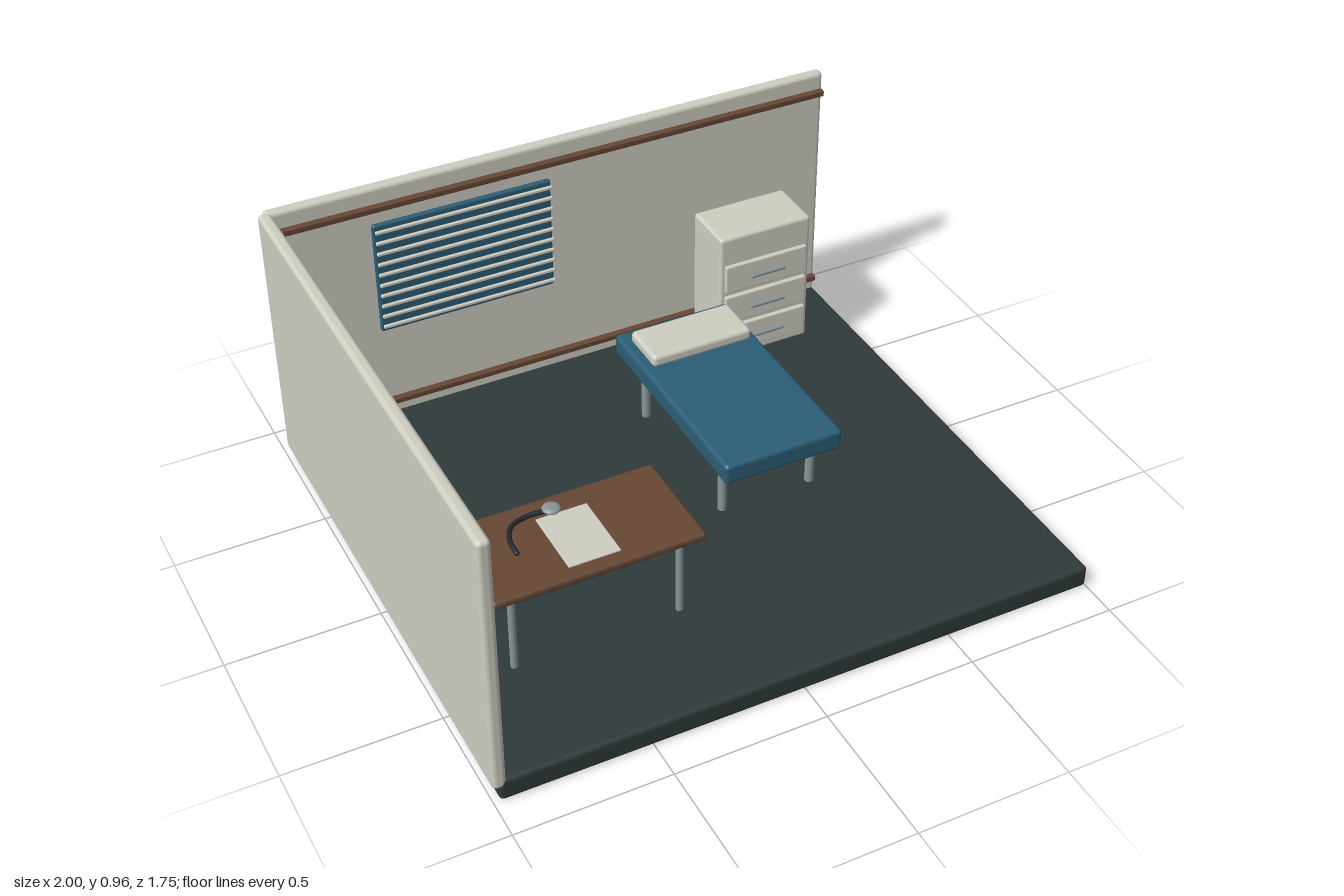
import * as THREE from 'three';
import { RoundedBoxGeometry } from 'three/addons/geometries/RoundedBoxGeometry.js';

function material(name, color) {
  const m = new THREE.MeshStandardMaterial({ color });
  m.name = name;
  return m;
}

export function createModel() {
  const cream = material('cream', 0xcfcec2);
  const floorDark = material('dark slate', 0x2f3a3a);
  const blue = material('blue', 0x2b5d75);
  const brown = material('brown wood', 0x664733);
  const metal = material('grey metal', 0x89959a);
  const rubber = material('black rubber', 0x23282b);

  const model = new THREE.Group();
  model.name = 'clinicRoom';

  function group(name) {
    const g = new THREE.Group();
    g.name = name;
    model.add(g);
    return g;
  }

  // Rounded box given by its [min, max] range on each axis
  function box(parent, name, mat, [x0, x1], [y0, y1], [z0, z1], r = 0.01) {
    const w = x1 - x0, h = y1 - y0, d = z1 - z0;
    const radius = Math.min(r, Math.min(w, h, d) * 0.45);
    const mesh = new THREE.Mesh(new RoundedBoxGeometry(w, h, d, 3, radius), mat);
    mesh.position.set((x0 + x1) / 2, (y0 + y1) / 2, (z0 + z1) / 2);
    mesh.name = name;
    parent.add(mesh);
    return mesh;
  }

  // Four round legs at the given x and z positions
  function legs(parent, xs, zs, y0, y1, r) {
    for (const x of xs) for (const z of zs) {
      const leg = new THREE.Mesh(new THREE.CylinderGeometry(r, r, y1 - y0, 20), metal);
      leg.position.set(x, (y0 + y1) / 2, z);
      leg.name = 'leg';
      parent.add(leg);
    }
  }

  // Floor and two walls
  const room = group('room');
  box(room, 'floor', floorDark, [-0.98, 1], [0, 0.078], [-0.855, 0.875], 0.015);
  box(room, 'backWall', cream, [-0.98, 1], [0.05, 0.96], [-0.875, -0.835], 0.015);
  box(room, 'sideWall', cream, [-1, -0.957], [0.05, 0.96], [-0.855, 0.875], 0.015);

  // Wooden rails along the back wall
  for (const y of [0.13, 0.89]) {
    box(room, 'wallRail', brown, [-0.965, 0.995], [y - 0.011, y + 0.011], [-0.837, -0.813], 0.005);
  }

  // Window with slatted blind
  const windowGroup = group('window');
  box(windowGroup, 'windowPanel', blue, [-0.648, -0.03], [0.425, 0.835], [-0.831, -0.811], 0.009);
  for (let i = 0; i < 10; i++) {
    const y = 0.455 + i * 0.0402;
    box(windowGroup, 'blindSlat', cream, [-0.645, -0.032], [y - 0.006, y + 0.006], [-0.802, -0.79], 0.004);
  }

  // Desk
  const desk = group('desk');
  box(desk, 'deskTop', brown, [-0.83, -0.143], [0.357, 0.386], [0.145, 0.515], 0.012);
  legs(desk, [-0.757, -0.213], [0.197, 0.47], 0.078, 0.36, 0.012);
  box(desk, 'paper', cream, [-0.572, -0.404], [0.386, 0.393], [0.235, 0.472], 0.003);

  // Stethoscope lying on the desk
  const stethoscope = group('stethoscope');
  const path = new THREE.CatmullRomCurve3([
    [-0.682, 0.35], [-0.678, 0.29], [-0.65, 0.235], [-0.6, 0.214], [-0.55, 0.212], [-0.5, 0.22],
  ].map(([x, z]) => new THREE.Vector3(x, 0.393, z)));
  const tube = new THREE.Mesh(new THREE.TubeGeometry(path, 40, 0.008, 10), rubber);
  tube.name = 'stethoscopeTube';
  const chest = new THREE.Mesh(new THREE.SphereGeometry(0.029, 24, 16), metal);
  chest.scale.y = 0.38;
  chest.position.set(-0.512, 0.399, 0.217);
  chest.name = 'chestPiece';
  stethoscope.add(tube, chest);
  // Rounded end of the tube
  const tip = new THREE.Mesh(new THREE.SphereGeometry(0.008, 10, 8), rubber);
  tip.position.copy(path.getPoint(0));
  tip.name = 'tubeEnd';
  stethoscope.add(tip);

  // Examination bed
  const bed = group('bed');
  box(bed, 'mattress', blue, [0.07, 0.487], [0.272, 0.346], [-0.558, 0.23], 0.015);
  box(bed, 'pillow', cream, [0.1, 0.462], [0.346, 0.39], [-0.498, -0.326], 0.015);
  legs(bed, [0.122, 0.44], [-0.43, 0.113], 0.078, 0.28, 0.015);

  // Cabinet with three drawers
  const cabinet = group('cabinet');
  box(cabinet, 'cabinetBody', cream, [0.48, 0.824], [0.085, 0.578], [-0.78, -0.583], 0.012);
  for (const y of [0.172, 0.296, 0.42]) {
    box(cabinet, 'drawerFront', cream, [0.495, 0.805], [y - 0.053, y + 0.053], [-0.585, -0.567], 0.005);
    box(cabinet, 'drawerHandle', metal, [0.585, 0.715], [y - 0.006, y + 0.006], [-0.567, -0.55], 0.004);
  }

  return model;
}
